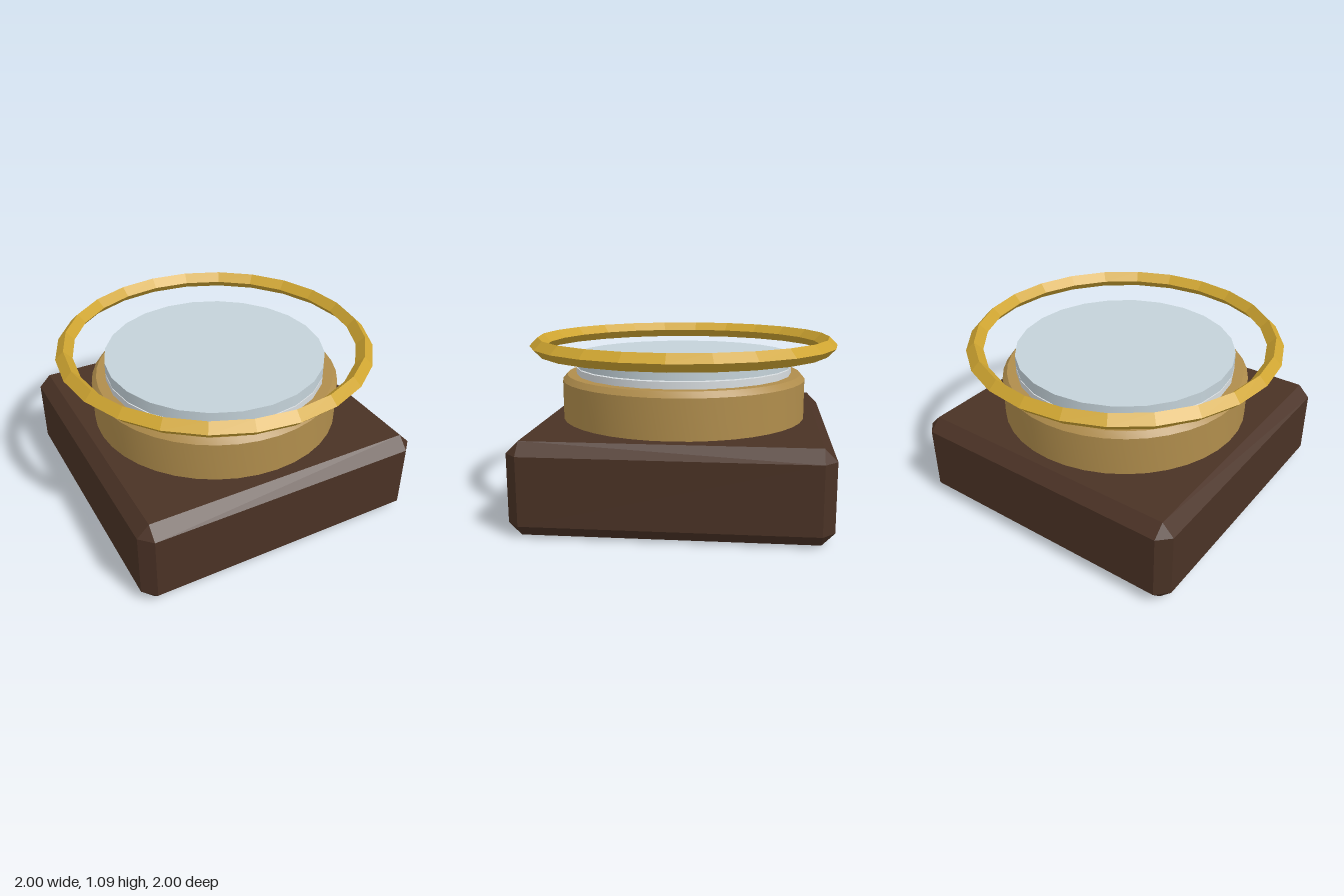
import * as THREE from 'three';
import { ConvexGeometry } from 'three/addons/geometries/ConvexGeometry.js';
import { toCreasedNormals } from 'three/addons/utils/BufferGeometryUtils.js';

const paint = (color, flatShading = false) => {
  const m = new THREE.MeshStandardMaterial({ color });
  m.flatShading = flatShading;
  return m;
};

// Box with every edge cut at 45 degrees
function chamferedBox(w, h, d, c) {
  const half = [w / 2, h / 2, d / 2];
  const points = [];
  for (const sx of [-1, 1]) for (const sy of [-1, 1]) for (const sz of [-1, 1])
    for (let face = 0; face < 3; face++) {
      const p = half.map((v, axis) => (axis === face ? v : v - c));
      points.push(new THREE.Vector3(sx * p[0], sy * p[1], sz * p[2]));
    }
  return new ConvexGeometry(points);
}

export function createModel() {
  const group = new THREE.Group();
  const add = (name, geometry, material, x = 0, y = 0, z = 0, parent = group) => {
    const mesh = new THREE.Mesh(geometry, material);
    mesh.name = name;
    mesh.position.set(x, y, z);
    parent.add(mesh);
    return mesh;
  };

  // Wooden block
  add('base', chamferedBox(1.885, 0.565, 1.885, 0.075), paint(0x4a3225, true), 0, 0.2825, 0);

  // Brass bowl with a bevelled rim
  const profile = [[0, 0.55], [0.795, 0.55], [0.795, 0.815], [0.765, 0.85], [0, 0.85]]
    .map(([r, y]) => new THREE.Vector2(r, y));
  add('case', toCreasedNormals(new THREE.LatheGeometry(profile, 40), 0.5), paint(0xb08d4c));

  // Dial and glass, separated by a thin gap
  const disc = (h) => new THREE.CylinderGeometry(0.705, 0.705, h, 24);
  add('dial', disc(0.05), paint(0xd8dde0), 0, 0.868, 0);
  add('glass', disc(0.075), paint(0xc4d2d9), 0, 0.9375, 0);

  // Four marks on the dial
  const dark = paint(0x222222);
  for (let i = 0; i < 4; i++) {
    const a = (i * Math.PI) / 2;
    const mark = add('dialMark', new THREE.BoxGeometry(0.16, 0.008, 0.07), dark,
      Math.cos(a) * 0.58, 0.896, Math.sin(a) * 0.58);
    mark.rotation.y = -a;
  }

  // Two-coloured diagonal needle
  const needle = new THREE.Group();
  needle.name = 'needle';
  needle.position.y = 0.896;
  needle.rotation.y = -Math.PI / 4;
  group.add(needle);
  add('needleTip', new THREE.BoxGeometry(0.62, 0.008, 0.07), paint(0xb03028), 0.31, 0, 0, needle);
  add('needleTail', new THREE.BoxGeometry(0.62, 0.008, 0.07), paint(0xcccccc), -0.31, 0, 0, needle);

  // Floating ring with a diamond section
  const ring = add('ring', new THREE.TorusGeometry(0.947, 0.053, 4, 24), paint(0xcfa531, true), 0, 1.038, 0);
  ring.rotation.x = Math.PI / 2;

  return group;
}
